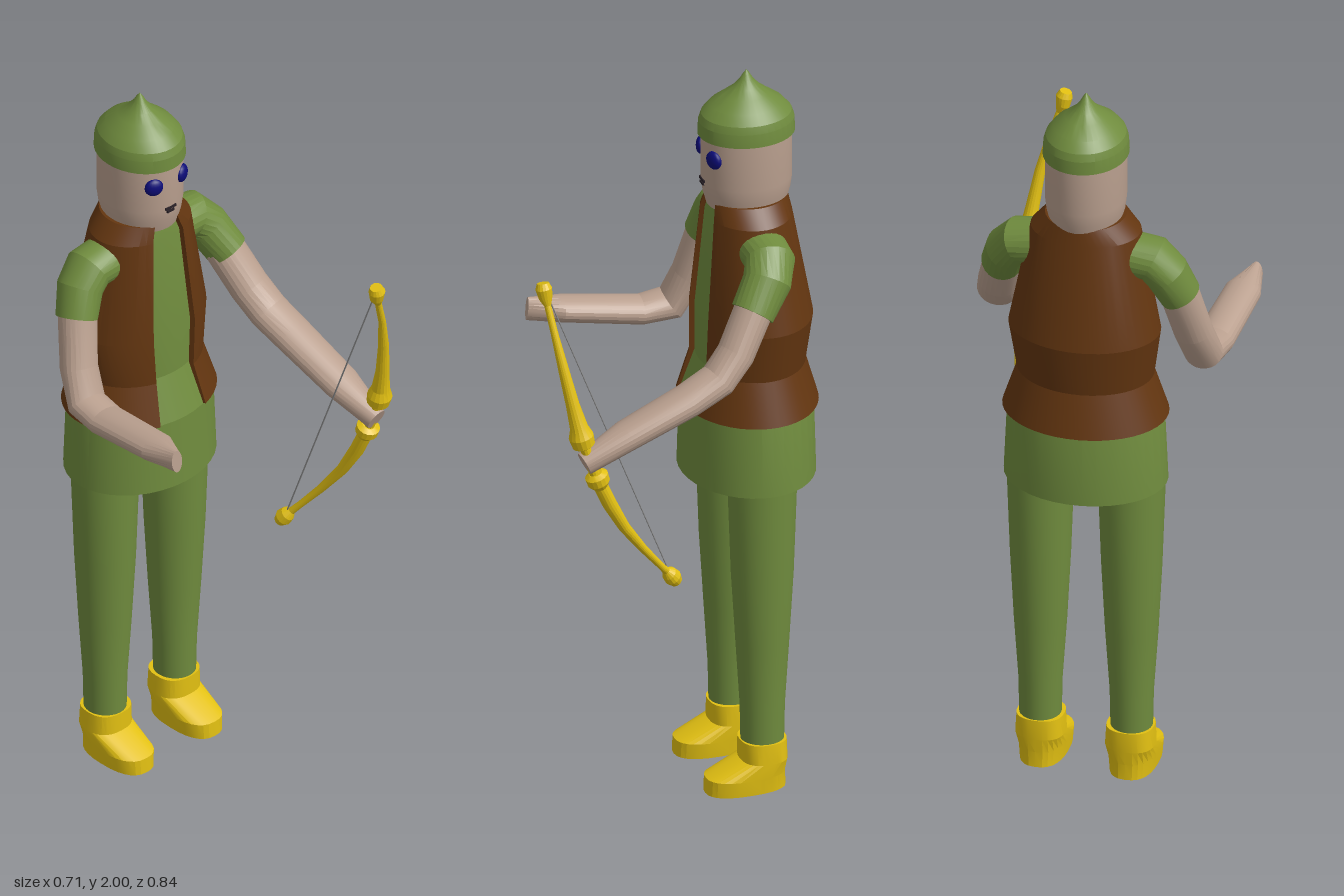
import * as THREE from 'three';
import { toCreasedNormals } from 'three/addons/utils/BufferGeometryUtils.js';

const V = (x, y, z) => new THREE.Vector3(x, y, z);
const mat = (name, color) => {
  const m = new THREE.MeshStandardMaterial({ color });
  m.name = name;
  return m;
};

// Skin through closed rings of points (counter-clockwise about the travel direction)
function loft(rings, cap = true) {
  const pos = [];
  const tri = (a, b, c) => {
    const area = b.clone().sub(a).cross(c.clone().sub(a)).length();
    if (area > 1e-9) for (const p of [a, b, c]) pos.push(p.x, p.y, p.z);
  };
  const n = rings[0].length;
  for (let r = 0; r + 1 < rings.length; r++) {
    const A = rings[r], B = rings[r + 1];
    for (let i = 0; i < n; i++) {
      const j = (i + 1) % n;
      tri(A[i], A[j], B[i]);
      tri(A[j], B[j], B[i]);
    }
  }
  if (cap) {
    const mid = (ring) => ring.reduce((s, p) => s.add(p), V(0, 0, 0)).divideScalar(n);
    const first = rings[0], last = rings[rings.length - 1];
    const c0 = mid(first), c1 = mid(last);
    for (let i = 0; i < n; i++) {
      const j = (i + 1) % n;
      tri(c0, first[j], first[i]);
      tri(c1, last[i], last[j]);
    }
  }
  const g = new THREE.BufferGeometry();
  g.setAttribute('position', new THREE.Float32BufferAttribute(pos, 3));
  return toCreasedNormals(g, 0.27);
}

// Upright body: rows of [y, half width, half depth, centre z]; square < 1 makes it boxier
function column(rows, { x = 0, segs = 36, square = 1 } = {}) {
  const bend = (v) => Math.sign(v) * Math.abs(v) ** square;
  return loft(rows.map(([y, rx, rz, cz = -0.235]) =>
    Array.from({ length: segs }, (_, i) => {
      const a = (i / segs) * Math.PI * 2;
      return V(x + rx * bend(Math.sin(a)), y, cz + rz * bend(Math.cos(a)));
    })));
}

// Limb along a path: rows of [x, y, z, radius along ref, other radius]
function limb(rows, ref, segs = 24) {
  const pts = rows.map((r) => V(r[0], r[1], r[2]));
  return loft(rows.map((r, k) => {
    const before = k > 0 ? pts[k].clone().sub(pts[k - 1]).normalize() : V(0, 0, 0);
    const after = k + 1 < pts.length ? pts[k + 1].clone().sub(pts[k]).normalize() : V(0, 0, 0);
    const t = before.add(after).normalize();
    const u = ref.clone().addScaledVector(t, -ref.dot(t)).normalize();
    const v = t.clone().cross(u);
    return Array.from({ length: segs }, (_, i) => {
      const a = (i / segs) * Math.PI * 2;
      return pts[k].clone()
        .addScaledVector(u, r[3] * Math.cos(a))
        .addScaledVector(v, (r[4] ?? r[3]) * Math.sin(a));
    });
  }));
}

// Open-fronted vest with a thin wall; the rims close at the first and last row
function vestShell(rows, gap, wall, segs = 40) {
  const arc = (y, rx, rz, cz) => Array.from({ length: segs + 1 }, (_, i) => {
    const a = gap + (i / segs) * (Math.PI * 2 - 2 * gap);
    return V(rx * Math.sin(a), y, cz + rz * Math.cos(a));
  });
  const ring = ([y, rx, rz, cz], w) =>
    [...arc(y, rx, rz, cz), ...arc(y, rx - w, rz - w, cz).reverse()];
  return loft([ring(rows[0], 0), ...rows.map((r) => ring(r, wall)), ring(rows[rows.length - 1], 0)], false);
}

export function createModel() {
  const green = mat('cloth green', 0x708c3e);
  const brown = mat('leather brown', 0x643610);
  const skin = mat('skin', 0xbaa08f);
  const yellow = mat('golden yellow', 0xe2c012);
  const blue = mat('eye blue', 0x0c0c78);
  const dark = mat('mouth dark', 0x2a2228);
  const grey = mat('string grey', 0x8a8a8a);

  const model = new THREE.Group();
  model.name = 'archer';
  const add = (name, geometry, material, parent = model) => {
    const m = new THREE.Mesh(geometry, material);
    m.name = name;
    parent.add(m);
    return m;
  };

  // Tunic and vest
  add('tunic', column([
    [0.87, 0.215, 0.175], [1.07, 0.206, 0.17], [1.19, 0.168, 0.134, -0.24],
    [1.32, 0.187, 0.142, -0.25], [1.6, 0.132, 0.104], [1.645, 0.094, 0.095],
  ]), green);
  add('vest', vestShell([
    [1.07, 0.218, 0.179, -0.238], [1.185, 0.18, 0.146, -0.238], [1.32, 0.2, 0.154, -0.248],
    [1.605, 0.145, 0.115, -0.235], [1.65, 0.106, 0.106, -0.235],
  ], 0.37, 0.014), brown);

  // Head, hat and face
  const head = new THREE.Group();
  head.name = 'head';
  model.add(head);
  add('face', column([[1.63, 0.092, 0.105], [1.665, 0.101, 0.115], [1.7, 0.105, 0.12], [1.84, 0.105, 0.12]]), skin, head);
  add('hat', column([
    [1.828, 0.111, 0.128], [1.865, 0.109, 0.126], [1.885, 0.103, 0.119], [1.91, 0.084, 0.097],
    [1.935, 0.054, 0.062], [1.955, 0.031, 0.036], [1.975, 0.016, 0.018], [1.99, 0.008, 0.009], [2, 0.001, 0.001],
  ]), green, head);
  for (const s of [1, -1]) {
    const eye = add(s > 0 ? 'leftEye' : 'rightEye', new THREE.SphereGeometry(0.025, 16, 10), blue, head);
    eye.scale.z = 0.55;
    eye.rotation.y = s * 0.45;
    eye.position.set(s * 0.049, 1.78, -0.129);
  }
  for (const [w, y] of [[0.036, 1.704], [0.024, 1.694]]) {
    add('mouth', new THREE.BoxGeometry(w, 0.007, 0.008), dark, head).position.set(-0.003, y, -0.117);
  }

  // Legs and shoes
  for (const s of [1, -1]) {
    const side = s > 0 ? 'left' : 'right';
    add(side + 'Leg', column([
      [0, 0.045, 0.048], [0.14, 0.055, 0.057], [0.24, 0.057, 0.059], [0.42, 0.069, 0.07],
      [0.62, 0.079, 0.082], [0.88, 0.088, 0.091],
    ], { x: s * 0.122, segs: 28 }), green);
    add(side + 'Shoe', column([
      [0.002, 0.06, 0.108, -0.187], [0.045, 0.064, 0.106, -0.187],
      [0.085, 0.065, 0.062, -0.236], [0.14, 0.062, 0.061],
    ], { x: s * 0.12, segs: 28, square: 0.8 }), yellow);
  }

  // Arms: short sleeve, then bare arm bent forward at the elbow
  const X = V(1, 0, 0), Z = V(0, 0, 1);
  add('leftSleeve', limb([
    [0.12, 1.54, -0.235, 0.066, 0.06], [0.18, 1.535, -0.235, 0.066, 0.06],
    [0.215, 1.495, -0.215, 0.064, 0.058], [0.243, 1.425, -0.165, 0.058, 0.055],
  ], Z), green);
  add('leftArm', limb([
    [0.235, 1.44, -0.175, 0.054, 0.05], [0.268, 1.33, -0.11, 0.055, 0.048],
    [0.285, 1.272, -0.055, 0.056, 0.046], [0.295, 1.232, 0.03, 0.056, 0.042],
    [0.305, 1.165, 0.2, 0.052, 0.038], [0.315, 1.108, 0.32, 0.028, 0.032],
  ], X), skin);
  add('rightSleeve', limb([
    [-0.12, 1.54, -0.235, 0.066, 0.06], [-0.18, 1.535, -0.235, 0.066, 0.06],
    [-0.215, 1.495, -0.23, 0.063, 0.058], [-0.245, 1.425, -0.21, 0.056, 0.054],
  ], Z), green);
  add('rightArm', limb([
    [-0.24, 1.44, -0.213, 0.052, 0.05], [-0.27, 1.3, -0.175, 0.052, 0.046],
    [-0.284, 1.215, -0.13, 0.054, 0.045], [-0.29, 1.205, -0.05, 0.053, 0.037],
    [-0.308, 1.235, 0.16, 0.049, 0.034], [-0.32, 1.243, 0.25, 0.016, 0.032],
  ], X), skin);

  // Bow: knobbed tips, swelling handles, thin grip inside the fist
  const bow = new THREE.Group();
  bow.name = 'bow';
  model.add(bow);
  add('upperBowLimb', limb([
    [0.235, 1.605, 0.405, 0.016], [0.239, 1.59, 0.404, 0.022], [0.242, 1.565, 0.4, 0.018],
    [0.25, 1.545, 0.397, 0.009], [0.274, 1.47, 0.386, 0.01], [0.294, 1.38, 0.37, 0.014],
    [0.309, 1.28, 0.35, 0.018], [0.316, 1.215, 0.335, 0.024], [0.318, 1.19, 0.33, 0.033],
    [0.318, 1.165, 0.323, 0.03], [0.318, 1.155, 0.32, 0.014],
  ], X, 16), yellow, bow);
  add('bowGrip', limb([[0.318, 1.16, 0.321, 0.014], [0.316, 1.06, 0.287, 0.014]], X, 12), yellow, bow);
  add('lowerBowLimb', limb([
    [0.317, 1.078, 0.291, 0.018], [0.317, 1.07, 0.288, 0.031], [0.316, 1.05, 0.281, 0.03],
    [0.315, 1.035, 0.275, 0.019], [0.312, 0.98, 0.25, 0.019], [0.301, 0.9, 0.206, 0.015],
    [0.282, 0.82, 0.148, 0.011], [0.257, 0.75, 0.092, 0.009], [0.248, 0.727, 0.073, 0.01],
    [0.243, 0.715, 0.063, 0.02], [0.239, 0.7, 0.051, 0.023], [0.236, 0.685, 0.04, 0.016],
  ], X, 16), yellow, bow);
  add('bowString', limb([[0.239, 1.58, 0.398, 0.002], [0.239, 0.71, 0.058, 0.002]], X, 6), grey, bow);

  return model;
}
